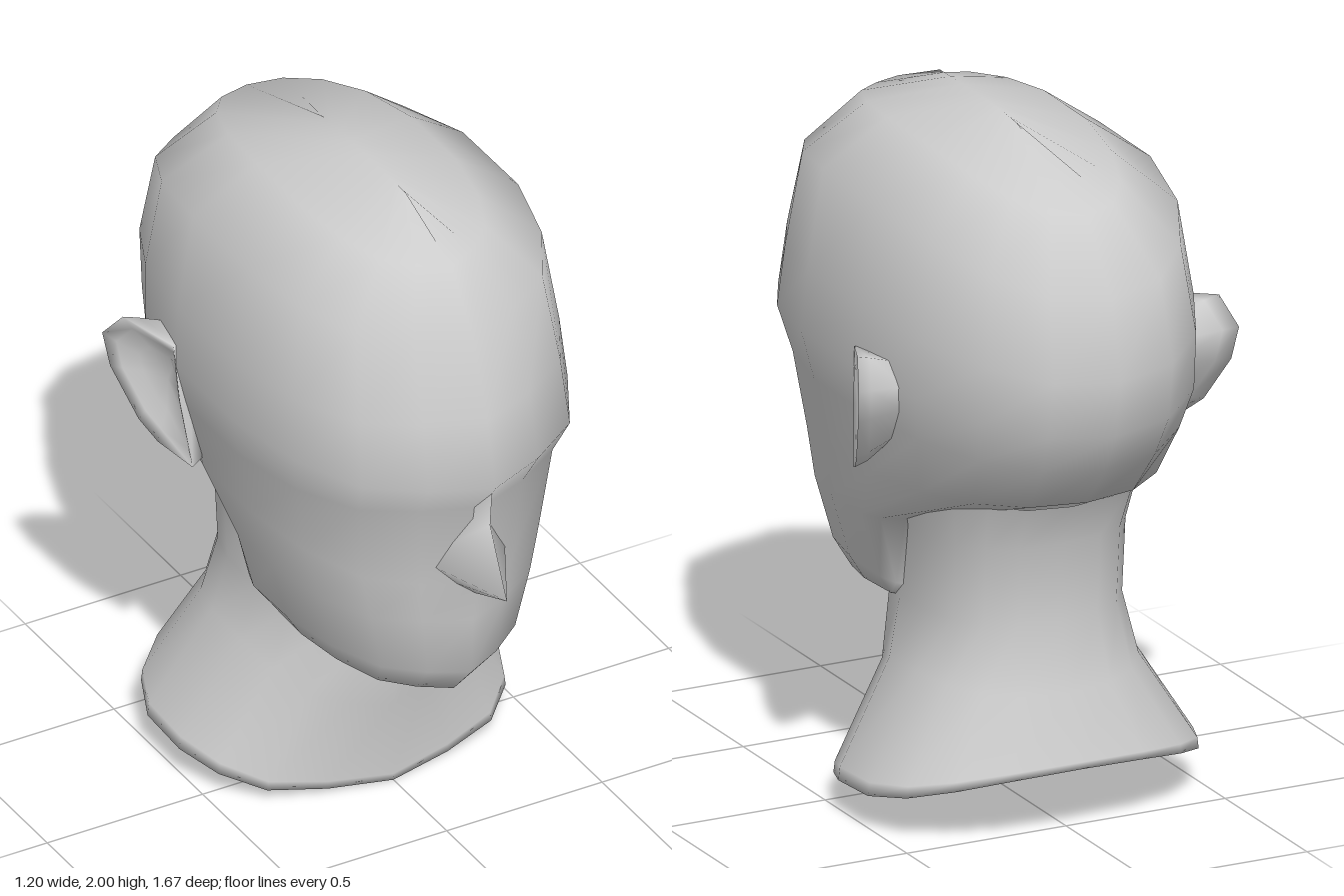
import * as THREE from 'three';
import { mergeVertices } from 'three/addons/utils/BufferGeometryUtils.js';

const material = new THREE.MeshStandardMaterial({ color: 0xcccccc });

// Skin a stack of closed loops; collapsed loops close the ends.
function loft(name, loops, flip = false) {
  const n = loops[0].length;
  const index = [];
  const tri = (a, b, c) => index.push(a, flip ? c : b, flip ? b : c);
  for (let i = 0; i < loops.length - 1; i++) {
    for (let j = 0; j < n; j++) {
      const a = i * n + j, b = i * n + (j + 1) % n;
      tri(a, a + n, b);
      tri(b, a + n, b + n);
    }
  }
  let geometry = new THREE.BufferGeometry();
  geometry.setAttribute('position', new THREE.Float32BufferAttribute(loops.flat(2), 3));
  geometry.setIndex(index);
  geometry = mergeVertices(geometry, 1e-4);
  geometry.computeVertexNormals();
  const mesh = new THREE.Mesh(geometry, material);
  mesh.name = name;
  return mesh;
}

// Angles from the front round to the back; the wide first step makes the keel of the face.
const half = [0, 20, 40, 60, 80, 100, 120, 140, 160, 180];
const angles = [...half, ...half.slice(1, -1).reverse().map(a => 360 - a)];

// Rounded section from front point (zf, yf) to back point (zb, yb), half width w at (zc, ym).
function section([zf, yf, zb, yb, w, ym, zc, nf, nb]) {
  const at = deg => {
    const s = Math.sin(deg * Math.PI / 180), c = Math.cos(deg * Math.PI / 180);
    const p = 2 / (c > 0 ? nf : nb);
    const k = Math.abs(c) ** p;
    return [
      Math.sign(s) * w * Math.abs(s) ** p,
      ym + ((c > 0 ? yf : yb) - ym) * k * k,
      zc + ((c > 0 ? zf : zb) - zc) * k
    ];
  };
  return angles.map(deg => {
    if (deg !== 20 && deg !== 340) return at(deg);
    // flat plane between the centre line and the cheek
    const a = at(0), b = at(deg === 20 ? 40 : 320), r = at(deg);
    return r.map((v, i) => v * 0.4 + (a[i] + b[i]) * 0.3);
  });
}

const point = (x, y, z) => angles.map(() => [x, y, z]);

// Ear: hollow, rim and back, as scaled copies of one outline in (z, y).
function ear(name, side) {
  const rim = [
    [-0.11, 1.02], [-0.22, 1.06], [-0.28, 1.11], [-0.37, 1.25],
    [-0.395, 1.35], [-0.33, 1.43], [-0.17, 1.40], [-0.15, 1.22]
  ];
  const loop = (scale, out) => rim.map(([z, y]) => {
    const zz = -0.23 + (z + 0.23) * scale, yy = 1.25 + (y - 1.25) * scale;
    return [side * out(zz), yy, zz];
  });
  const flare = z => 0.465 + (-0.1 - z) * 0.45;
  return loft(name, [
    loop(0, () => 0.48),
    loop(0.5, z => flare(z) - 0.035),
    loop(0.8, z => flare(z) - 0.012),
    loop(1, flare),
    loop(0.93, z => flare(z) - 0.04),
    loop(0.75, () => 0.43)
  ], side < 0);
}

// Nose: narrow bridge opening to a pointed tip and two wings.
function nose() {
  const levels = [
    // y and z of ridge, half width, y and z of the sides
    [1.32, 0.76, 0.01, 1.32, 0.72],
    [1.16, 0.745, 0.05, 1.16, 0.63],
    [0.96, 0.84, 0.14, 1.0, 0.58],
    [0.89, 0.67, 0.07, 0.92, 0.59]
  ];
  return loft('nose', levels.map(([y, z, w, ys, zs]) =>
    [[0, y, z], [w, ys, zs], [0, ys, zs - 0.06], [-w, ys, zs]]));
}

export function createModel() {
  const group = new THREE.Group();
  group.name = 'mannequinHead';

  // Skull and face, crown to chin
  const skull = [
    [0.27, 2.0, -0.2, 1.99, 0, 2.0, 0, 2, 2],
    [0.53, 1.9, -0.63, 1.85, 0.25, 1.95, 0, 2.3, 2.3],
    [0.65, 1.73, -0.78, 1.65, 0.44, 1.82, 0, 2.3, 2.3],
    [0.73, 1.5, -0.835, 1.42, 0.485, 1.52, 0, 2.2, 2.25],
    [0.775, 1.3, -0.805, 1.25, 0.5, 1.34, 0, 2.2, 2.2],
    [0.705, 1.2, -0.74, 1.13, 0.47, 1.2, 0, 2.15, 2.2],
    [0.67, 0.92, -0.63, 1.0, 0.43, 1.0, 0, 2.15, 2.2],
    [0.65, 0.79, -0.14, 0.84, 0.39, 0.83, 0.08, 2.1, 3.5],
    [0.64, 0.61, -0.13, 0.63, 0.335, 0.64, 0.08, 2, 4],
    [0.54, 0.5, -0.12, 0.61, 0.29, 0.57, 0.1, 2, 4]
  ];
  group.add(loft('head', [...skull.map(section), point(0, 0.48, 0.25)]));

  // Neck flaring to the shoulders, with a sloping base
  const neck = [
    [0.1, 0.98, -0.54, 0.96, 0.33, 1.0, -0.18, 2.2, 2.4],
    [0.18, 0.8, -0.48, 0.83, 0.3, 0.82, -0.16, 2.2, 2.5],
    [0.25, 0.5, -0.47, 0.6, 0.3, 0.6, -0.14, 2.2, 2.4],
    [0.2, 0.25, -0.52, 0.4, 0.34, 0.43, -0.15, 2.3, 2.4],
    [0.2, 0.02, -0.6, 0.22, 0.515, 0.14, -0.2, 2.4, 2.3],
    [0.2, 0.0, -0.6, 0.2, 0.52, 0.1, -0.2, 2.4, 2.3]
  ];
  group.add(loft('neck', [...neck.map(section), point(0, 0.1, -0.2)]));

  group.add(nose(), ear('leftEar', 1), ear('rightEar', -1));
  return group;
}
